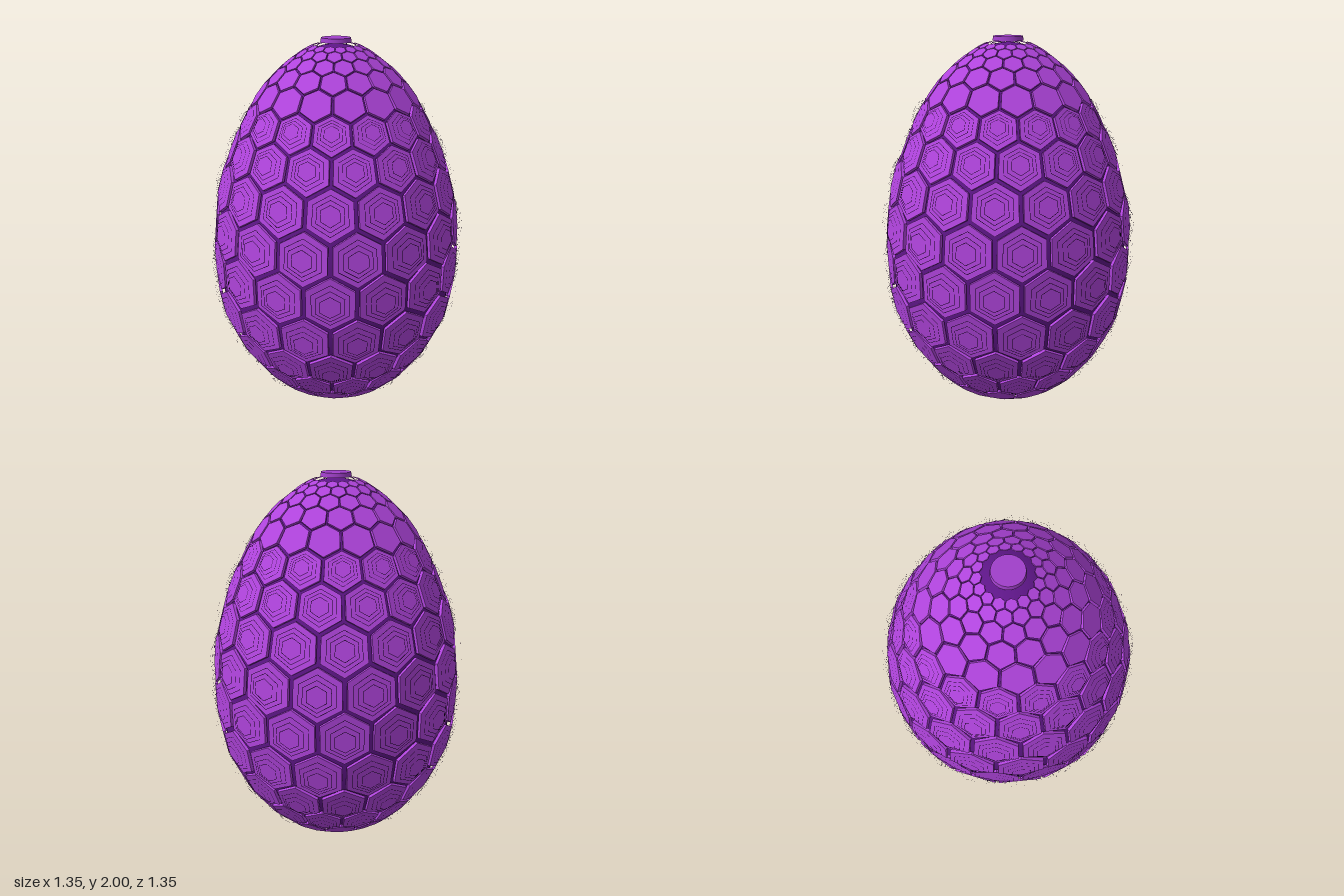
import * as THREE from 'three';

const COUNT = 16;                       // plates per row
const STEP = (Math.PI * 2) / COUNT;
const ROW = STEP * Math.sqrt(3) / 2;    // row spacing relative to the local radius
const HEX = STEP / Math.sqrt(3) * 0.92; // plate size, leaving a groove between plates

// Egg outline, bottom to top, as (radius, height)
const outline = new THREE.SplineCurve([
  [0, 0], [0.1, 0.01], [0.2, 0.04], [0.31, 0.1], [0.42, 0.2], [0.525, 0.35], [0.595, 0.5],
  [0.637, 0.66], [0.648, 0.86], [0.64, 1.08], [0.597, 1.29], [0.53, 1.47], [0.458, 1.62],
  [0.383, 1.74], [0.295, 1.84], [0.18, 1.93], [0.09, 1.975], [0, 1.99],
].map(([r, y]) => new THREE.Vector2(r, y))).getPoints(1500);

// Distance along the outline divided by radius, so plates shrink evenly to the poles
const rim = outline.filter((p) => p.x > 0.03);
const travel = [0];
for (let i = 1; i < rim.length; i++) {
  travel.push(travel[i - 1] + rim[i].distanceTo(rim[i - 1]) / ((rim[i].x + rim[i - 1].x) / 2));
}
const start = travel[rim.findIndex((p) => p.y >= 0.86)];

function outlineAt(u) {
  let i = travel.findIndex((t) => t >= u + start);
  if (i < 0) i = rim.length - 1;
  i = Math.max(i, 1);
  const tangent = rim[i].clone().sub(rim[i - 1]).normalize();
  return { r: rim[i].x, y: rim[i].y, tangent };
}

function geometryFrom(triangles) {
  const g = new THREE.BufferGeometry().setFromPoints(triangles);
  g.computeVertexNormals();
  return g;
}

// Six corners of a plate, flattened onto the plane touching the egg at its centre
function plateFrame(u) {
  const { r, y, tangent } = outlineAt(u);
  const centre = new THREE.Vector3(0, y, r);
  const normal = new THREE.Vector3(0, -tangent.x, tangent.y);
  const corners = [];
  for (let k = 0; k < 6; k++) {
    const a = Math.PI / 2 + k * Math.PI / 3;
    const p = outlineAt(u + HEX * Math.sin(a));
    const turn = HEX * Math.cos(a);
    const v = new THREE.Vector3(p.r * Math.sin(turn), p.y, p.r * Math.cos(turn));
    corners.push(v.addScaledVector(normal, -v.clone().sub(centre).dot(normal)));
  }
  return { centre, normal, corners, r, y };
}

function plateGeometry({ centre, normal, corners, r }) {
  const tris = [];
  const low = corners.map((c) => c.clone().addScaledVector(normal, -0.015 * Math.min(1, r / 0.4)));
  for (let k = 0; k < 6; k++) {
    const n = (k + 1) % 6;
    tris.push(centre, corners[k], corners[n]);
    tris.push(corners[k], low[k], low[n], corners[k], low[n], corners[n]);
  }
  return geometryFrom(tris);
}

// Three fine hexagon outlines stacked above a plate, smaller going outward
function contourGeometry({ centre, normal, corners }) {
  const tris = [];
  [[0.78, 0.008], [0.6, 0.018], [0.42, 0.028]].forEach(([size, lift]) => {
    const ring = (s) => corners.map((c) => centre.clone().lerp(c, s).addScaledVector(normal, lift));
    const outer = ring(size), inner = ring(size - 0.02);
    for (let k = 0; k < 6; k++) {
      const n = (k + 1) % 6;
      tris.push(inner[k], outer[k], outer[n], inner[k], outer[n], inner[n]);
    }
  });
  return geometryFrom(tris);
}

export function createModel() {
  const egg = new THREE.Group();
  egg.name = 'scaledEgg';
  const purple = new THREE.MeshStandardMaterial({ color: 0xb044dd });
  const dark = new THREE.MeshStandardMaterial({ color: 0x5e1688, side: THREE.DoubleSide });
  const line = new THREE.MeshStandardMaterial({ color: 0x3a1050, side: THREE.DoubleSide });
  const capMaterial = new THREE.MeshStandardMaterial({ color: 0xa03fca, side: THREE.DoubleSide });

  const add = (name, geometry, material, parent = egg) => {
    const mesh = new THREE.Mesh(geometry, material);
    mesh.name = name;
    parent.add(mesh);
    return mesh;
  };

  // Dark inner shell, set in from the plates
  const inset = [];
  for (let i = 0; i < outline.length; i += 25) {
    const p = outline[i];
    const t = outline[Math.min(i + 1, outline.length - 1)].clone().sub(outline[Math.max(i - 1, 0)]).normalize();
    inset.push(new THREE.Vector2(Math.max(0, p.x - t.y * 0.018), p.y + t.x * 0.018));
  }
  add('innerShell', new THREE.LatheGeometry(inset, 64), dark);

  // Rows of plates, every other row turned by half a plate
  for (let row = -9; row <= 9; row++) {
    const frame = plateFrame(row * ROW);
    const lowest = frame.y < 0.86 ? 0.185 : 0.09;
    if (frame.r < lowest) continue;
    const group = new THREE.Group();
    group.name = 'plateRow';
    const plate = plateGeometry(frame);
    const contour = frame.y > 0.2 && frame.y < 1.66 ? contourGeometry(frame) : null;
    for (let i = 0; i < COUNT; i++) {
      const turn = (i + (row % 2 ? 0.5 : 0)) * STEP;
      add('plate', plate, purple, group).rotation.y = turn;
      if (contour) add('plateContour', contour, line, group).rotation.y = turn;
    }
    egg.add(group);
  }

  // Rounded foot and flat crown close the two poles
  const foot = outline.filter((p, i) => p.y < 0.5 && p.x < 0.165 && i % 4 === 0);
  add('footCap', new THREE.LatheGeometry(foot, 48), capMaterial);
  add('crownCap', new THREE.CylinderGeometry(0.074, 0.078, 0.022, 48), capMaterial).position.y = 1.989;
  return egg;
}
